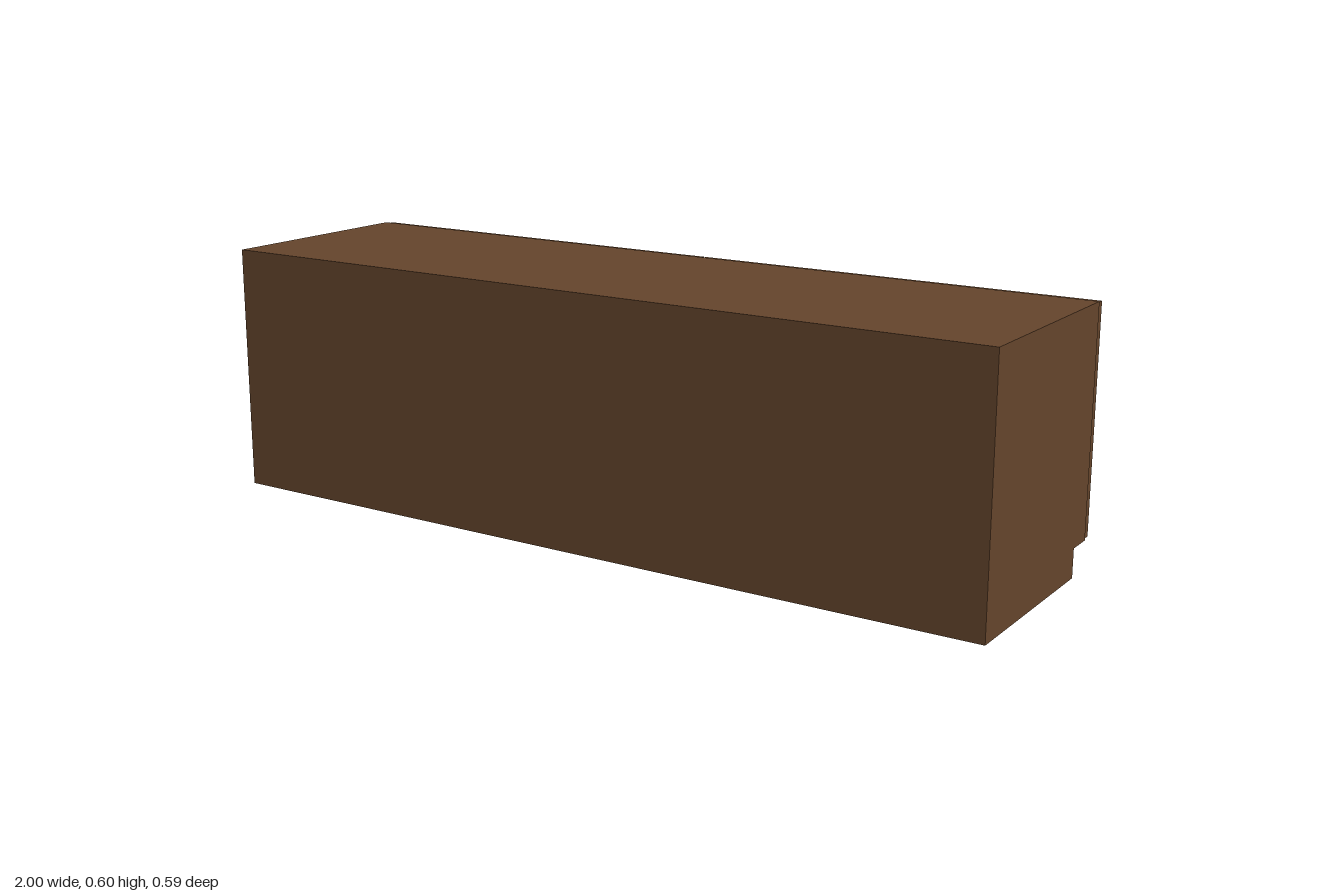
import * as THREE from 'three';

export function createModel() {
  const model = new THREE.Group();
  model.name = 'lowCabinet';
  const wood = new THREE.MeshStandardMaterial({ color: 0x65452c });
  wood.name = 'brown wood';
  const metal = new THREE.MeshStandardMaterial({ color: 0xa0a0a0 });
  metal.name = 'grey metal';

  const add = (name, geometry, material, x, y, z) => {
    const mesh = new THREE.Mesh(geometry, material);
    mesh.name = name;
    mesh.position.set(x, y, z);
    model.add(mesh);
  };

  // Carcass: side profile with a toe-kick recess, extruded across the width
  const profile = new THREE.Shape([
    [-0.295, 0], [0.174, 0], [0.174, 0.068], [0.24, 0.068], [0.24, 0.602], [-0.295, 0.602],
  ].map(([x, y]) => new THREE.Vector2(x, y)));
  const carcass = new THREE.ExtrudeGeometry(profile, { depth: 2, bevelEnabled: false });
  carcass.translate(0, 0, -1).rotateY(Math.PI / 2); // profile x becomes -z
  add('carcass', carcass, wood, 0, 0, 0);

  // Two doors with a narrow gap, each with a bar handle standing clear of it
  for (const [side, s] of [['left', 1], ['right', -1]]) {
    add(side + 'Door', new THREE.BoxGeometry(0.994, 0.529, 0.024), wood, s * 0.5, 0.3345, -0.252);
    add(side + 'Handle', new THREE.CylinderGeometry(0.0067, 0.0067, 0.16, 16), metal, s * 0.053, 0.335, -0.2883);
  }
  return model;
}
